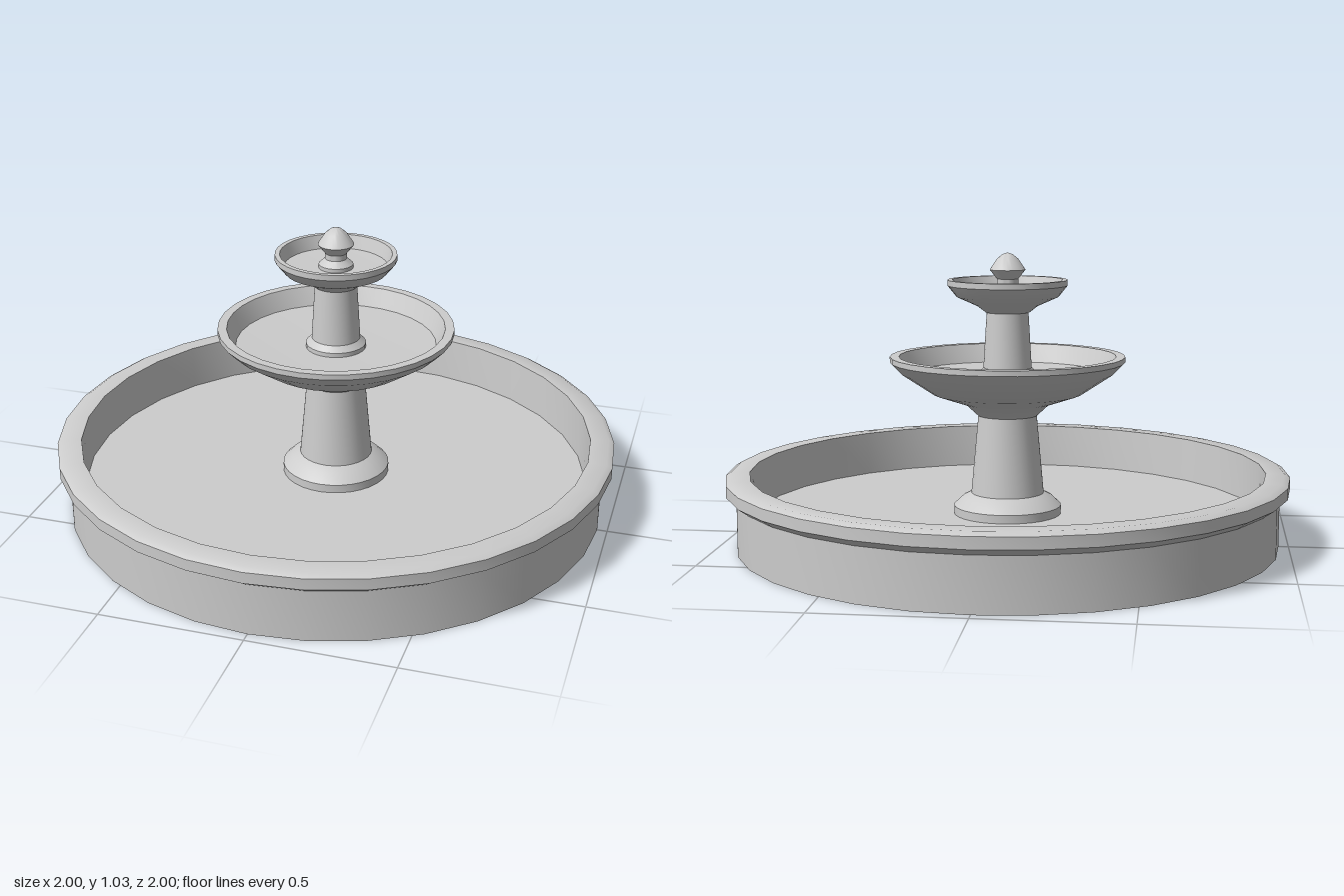
import * as THREE from 'three';
import { toCreasedNormals } from 'three/addons/utils/BufferGeometryUtils.js';

const SIDES = 32;

export function createModel() {
  const fountain = new THREE.Group();
  fountain.name = 'fountain';
  const stone = new THREE.MeshStandardMaterial({ color: 0xcccccc });
  stone.name = 'stone';

  // Revolves [radius, height] pairs, listed from the bottom up the outside
  function turned(name, points) {
    const profile = points.map(([r, y]) => new THREE.Vector2(r, y));
    const geometry = toCreasedNormals(new THREE.LatheGeometry(profile, SIDES), 0.6);
    const mesh = new THREE.Mesh(geometry, stone);
    mesh.name = name;
    fountain.add(mesh);
  }

  // Wide pool with an overhanging rim and a sunken floor
  turned('basin', [
    [0, 0], [0.965, 0], [0.965, 0.185], [1, 0.21], [1, 0.25], [0.98, 0.262],
    [0.915, 0.262], [0.905, 0.1], [0, 0.1],
  ]);

  // Lower column on a bevelled foot
  turned('lowerColumn', [
    [0.192, 0.1], [0.192, 0.13], [0.16, 0.16], [0.13, 0.175], [0.104, 0.46],
  ]);

  // Middle bowl
  turned('middleBowl', [
    [0, 0.455], [0.107, 0.455], [0.15, 0.495], [0.267, 0.535], [0.38, 0.61],
    [0.417, 0.648], [0.417, 0.667], [0.385, 0.667], [0.355, 0.6], [0, 0.585],
  ]);

  // Upper column with a small collar
  turned('upperColumn', [
    [0.106, 0.585], [0.106, 0.605], [0.086, 0.625], [0.074, 0.825],
  ]);

  // Top bowl
  turned('topBowl', [
    [0, 0.822], [0.078, 0.822], [0.108, 0.845], [0.18, 0.877],
    [0.212, 0.917], [0.212, 0.937], [0.195, 0.937], [0.18, 0.89], [0, 0.885],
  ]);

  // Pointed finial on a flared neck
  turned('finial', [
    [0.06, 0.885], [0.06, 0.9], [0.038, 0.92], [0.038, 0.94], [0.063, 0.972],
    [0.038, 1.01], [0.018, 1.026], [0, 1.032],
  ]);

  return fountain;
}
